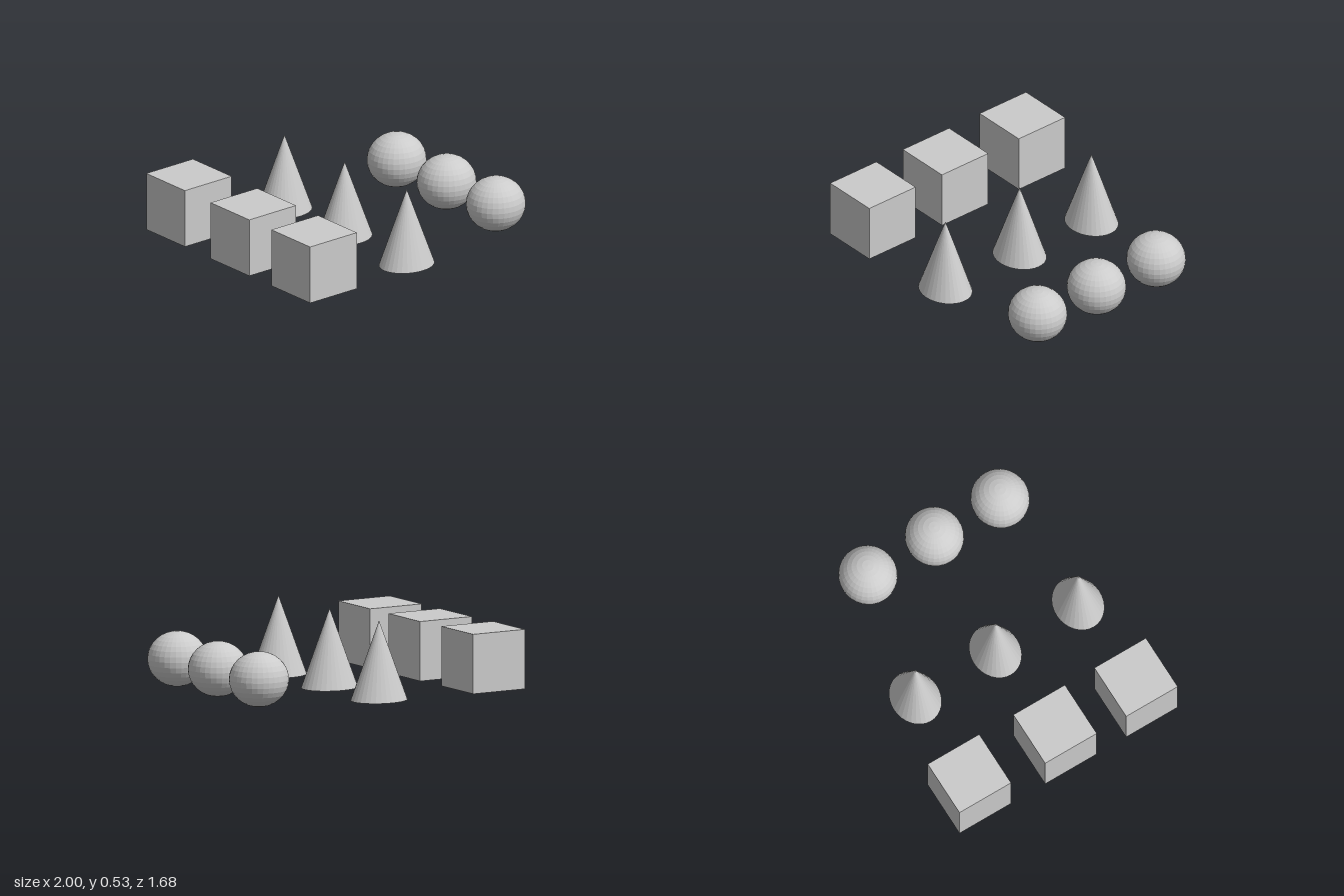
import * as THREE from 'three';

const material = new THREE.MeshStandardMaterial({ color: 0xcccccc, flatShading: true });

// Adds one mesh per [y, z] position, all sharing a geometry
function addRow(group, name, geometry, x, positions) {
  const row = new THREE.Group();
  row.name = name + 'Row';
  positions.forEach(([y, z], i) => {
    const mesh = new THREE.Mesh(geometry, material);
    mesh.name = name + (i + 1);
    mesh.position.set(x, y, z);
    row.add(mesh);
  });
  group.add(row);
}

export function createModel() {
  const model = new THREE.Group();
  model.name = 'primitiveShapes';

  // Cubes, the rear one a touch higher
  const cube = new THREE.BoxGeometry(0.398, 0.396, 0.397);
  addRow(model, 'cube', cube, -0.801, [[0.219, 0.642], [0.219, 0.018], [0.223, -0.642]]);

  // Cones with an oval base
  const cone = new THREE.ConeGeometry(1, 0.527, 32).scale(0.195, 1, 0.165);
  addRow(model, 'cone', cone, -0.033, [[0.2635, 0.668], [0.2635, 0.031], [0.2635, -0.586]]);

  // Slightly flattened spheres
  const sphere = new THREE.SphereGeometry(1, 32, 16).scale(0.199, 0.183, 0.193);
  addRow(model, 'sphere', sphere, 0.801, [[0.186, 0.581], [0.186, 0.075], [0.186, -0.437]]);

  return model;
}
